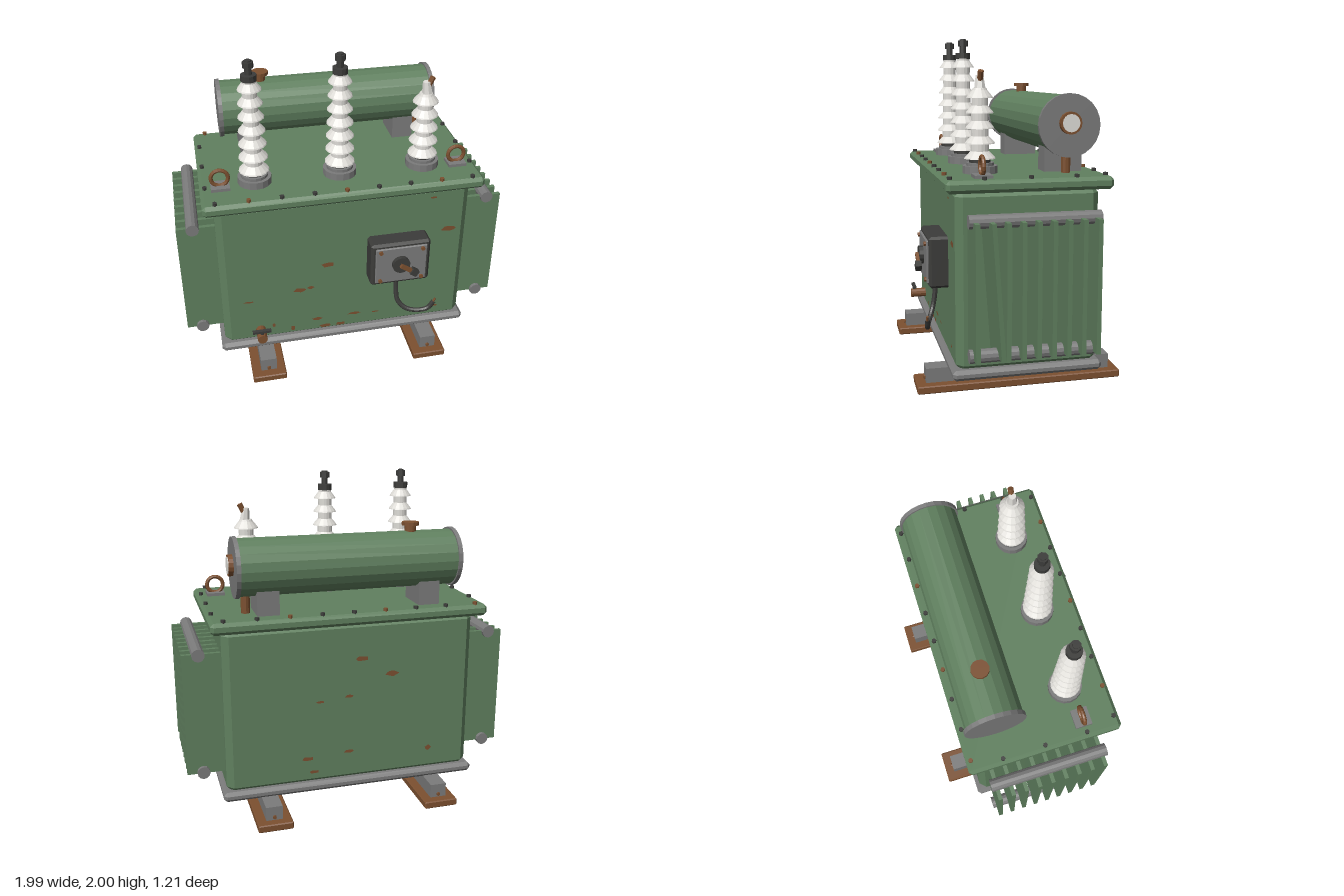
import * as THREE from 'three';
import { ConvexGeometry } from 'three/addons/geometries/ConvexGeometry.js';

const paint = (name, color) => Object.assign(new THREE.MeshStandardMaterial({ color, flatShading: true }), { name });

export function createModel() {
  const root = new THREE.Group();
  root.name = 'transformer';
  const green = paint('greenPaint', 0x60805f);
  const grey = paint('greyMetal', 0x7b7b7b);
  const dark = paint('darkMetal', 0x3c3c3a);
  const rust = paint('rust', 0x7c5030);
  const white = paint('porcelain', 0xdfddd8);

  const add = (name, geo, mat, x = 0, y = 0, z = 0, parent = root) => {
    const m = new THREE.Mesh(geo, mat);
    m.name = name;
    m.position.set(x, y, z);
    parent.add(m);
    return m;
  };
  const box = (w, h, d) => new THREE.BoxGeometry(w, h, d);
  // cylinder along the axis 'x', 'y' or 'z'
  const cyl = (r, len, axis = 'y', seg = 12) => {
    const g = new THREE.CylinderGeometry(r, r, len, seg);
    if (axis === 'x') g.rotateZ(-Math.PI / 2);
    if (axis === 'z') g.rotateX(Math.PI / 2);
    return g;
  };
  // box with every edge chamfered by b
  const chamferBox = (w, h, d, b) => {
    const pts = [];
    for (const sx of [-1, 1]) for (const sy of [-1, 1]) for (const sz of [-1, 1])
      for (let k = 0; k < 3; k++)
        pts.push(new THREE.Vector3(
          sx * (w / 2 - (k === 0 ? 0 : b)),
          sy * (h / 2 - (k === 1 ? 0 : b)),
          sz * (d / 2 - (k === 2 ? 0 : b))));
    return new ConvexGeometry(pts);
  };

  // skids and rails
  for (const s of [-1, 1]) {
    add('skid', chamferBox(0.21, 0.045, 1.21, 0.006), rust, s * 0.52, 0.0225, 0);
    add('rail', box(0.1, 0.09, 1.1), grey, s * 0.52, 0.085, 0);
    for (const e of [-1, 1]) add('railBolt', cyl(0.012, 0.03, 'z', 6), rust, s * 0.52, 0.065, e * 0.545);
  }

  // tank, base and lid
  add('basePlate', chamferBox(1.59, 0.06, 0.86, 0.02), grey, 0, 0.156, 0);
  add('tank', chamferBox(1.54, 1.02, 0.81, 0.04), green, 0, 0.675, 0);
  add('lid', chamferBox(1.67, 0.07, 0.93, 0.02), green, 0, 1.207, 0);
  const bolt = (x, z, i) => add('lidBolt', cyl(0.014, 0.02, 'y', 6), i % 3 === 0 ? rust : dark, x, 1.248, z);
  for (let i = 0; i < 9; i++) {
    const x = -0.76 + i * 0.19;
    bolt(x, 0.435, i + 2);
    bolt(x, -0.435, i);
  }
  for (const s of [-1, 1]) [-0.255, 0, 0.255].forEach((z) => bolt(s * 0.805, z, 1));

  // radiators: fins between two header pipes
  for (const s of [-1, 1]) {
    const rad = new THREE.Group();
    rad.name = s > 0 ? 'leftRadiator' : 'rightRadiator';
    root.add(rad);
    for (let i = 0; i < 9; i++) {
      const fin = add('fin', box(0.235, 0.74, 0.024), green, s * 0.8775, 0.67, -0.33 + i * 0.0825, rad);
      if (s > 0 && i === 7) { // one knocked out of line
        fin.position.z = 0.225;
        fin.rotation.x = 0.07;
        fin.rotation.y = 0.06;
      }
    }
    for (const y of [0.31, 1.037]) add('headerPipe', cyl(0.038, 0.725, 'z', 12), grey, s * 0.9, y, 0, rad);
  }

  // bushings: stacked porcelain sheds turned on a lathe
  const bushing = (x, sheds) => {
    const g = new THREE.Group();
    g.name = sheds < 7 ? 'brokenBushing' : 'bushing';
    g.position.set(x, 1.24, 0.22);
    root.add(g);
    add('flange', cyl(0.1, 0.045, 'y', 16), grey, 0, 0.0225, 0, g);
    add('collar', cyl(0.08, 0.02, 'y', 16), grey, 0, 0.052, 0, g);
    add('gasket', cyl(0.062, 0.03, 'y', 16), dark, 0, 0.07, 0, g);
    const pts = [new THREE.Vector2(0, 0.07), new THREE.Vector2(0.055, 0.07)];
    for (let i = 0; i < sheds; i++) {
      const y = 0.083 + i * 0.0845, r = 0.09 - i * 0.0035;
      pts.push(new THREE.Vector2(0.055 - i * 0.002, y + 0.01), new THREE.Vector2(r, y),
        new THREE.Vector2(r - 0.003, y + 0.007), new THREE.Vector2(0.052 - i * 0.002, y + 0.042));
    }
    const top = 0.083 + sheds * 0.0845;
    if (sheds === 7) {
      pts.push(new THREE.Vector2(0.04, top), new THREE.Vector2(0, top));
      add('cap', cyl(0.045, 0.035, 'y', 12), dark, 0, 0.66, 0, g);
      add('terminalRod', cyl(0.02, 0.06, 'y', 8), dark, 0, 0.70, 0, g);
      add('terminalNut', cyl(0.031, 0.034, 'y', 8), dark, 0, 0.735, 0, g);
      add('terminalTip', cyl(0.02, 0.02, 'y', 8), dark, 0, 0.75, 0, g);
    } else {
      // splintered top with bent conductor
      pts.push(new THREE.Vector2(0.038, top - 0.03), new THREE.Vector2(0, top - 0.03));
      const shard = new THREE.CylinderGeometry(0.022, 0.036, 0.1, 7);
      add('shard', shard, white, 0.004, top - 0.01, 0, g).rotation.z = 0.12;
      add('bentConductor', cyl(0.017, 0.1, 'y', 8), rust, 0.014, 0.525, 0, g).rotation.z = -0.45;
    }
    add('sheds', new THREE.LatheGeometry(pts, 16), white, 0, 0, 0, g);
  };
  bushing(-0.51, 7);
  bushing(0, 7);
  bushing(0.51, 5);

  // oil conservator drum
  const drum = new THREE.Group();
  drum.name = 'conservator';
  drum.position.set(0, 1.51, -0.255);
  root.add(drum);
  add('drumShell', cyl(0.168, 1.3, 'x', 20), green, 0, 0, 0, drum);
  for (const s of [-1, 1]) {
    add('drumEnd', cyl(0.178, 0.025, 'x', 24), grey, s * 0.66, 0, 0, drum);
    add('drumSupport', box(0.13, 0.2, 0.22), grey, s * 0.49, -0.17, 0, drum);
  }
  add('gaugeRim', cyl(0.063, 0.03, 'x', 16), rust, 0.684, 0.015, 0, drum);
  add('gaugeFace', cyl(0.05, 0.006, 'x', 16), white, 0.7, 0.015, 0, drum);
  add('fillerNeck', cyl(0.034, 0.08, 'y', 12), rust, -0.4, 0.17, 0, drum);
  add('fillerCap', cyl(0.052, 0.02, 'y', 12), rust, -0.4, 0.21, 0, drum);
  add('oilPipe', cyl(0.027, 0.16, 'y', 10), rust, 0.605, -0.2, 0, drum);

  // lifting eyes
  for (const s of [-1, 1]) {
    add('eyePad', box(0.11, 0.02, 0.1), grey, s * 0.715, 1.25, 0.25);
    add('liftingEye', new THREE.TorusGeometry(0.05, 0.012, 8, 18), rust, s * 0.715, 1.306, 0.25);
  }

  // control box
  add('controlBox', chamferBox(0.37, 0.3, 0.13, 0.015), dark, 0.32, 0.73, 0.45);
  add('controlPlate', chamferBox(0.32, 0.25, 0.016, 0.005), grey, 0.32, 0.73, 0.518);
  for (const dx of [-0.13, 0.13]) for (const dy of [-0.105, 0.105])
    add('plateBolt', cyl(0.013, 0.016, 'z', 8), rust, 0.32 + dx, 0.73 + dy, 0.53);
  add('dial', cyl(0.055, 0.03, 'z', 14), dark, 0.315, 0.74, 0.536);
  add('dialLever', box(0.1, 0.024, 0.02), rust, 0.35, 0.718, 0.56).rotation.z = -0.58;
  add('leverGrip', box(0.045, 0.04, 0.036), dark, 0.392, 0.692, 0.563).rotation.z = -0.58;

  // loose cable
  const cable = [[0.315, 0.6, 0.455], [0.315, 0.5, 0.458], [0.325, 0.41, 0.475], [0.37, 0.36, 0.5],
    [0.44, 0.345, 0.52], [0.51, 0.36, 0.53], [0.545, 0.415, 0.535]].map((p) => new THREE.Vector3(...p));
  add('cable', new THREE.TubeGeometry(new THREE.CatmullRomCurve3(cable), 28, 0.015, 8), dark);
  add('cableCore', cyl(0.007, 0.03, 'y', 6), rust, 0.547, 0.42, 0.535).rotation.z = -0.4;

  // drain valve
  add('valveBody', cyl(0.031, 0.11, 'z', 12), rust, -0.545, 0.26, 0.45);
  add('valveStem', cyl(0.01, 0.06, 'y', 8), dark, -0.545, 0.29, 0.485);
  add('valveHandle', box(0.115, 0.016, 0.022), dark, -0.545, 0.311, 0.485);

  // rust patches as flat, slightly ragged ovals: x, y, width, height
  const patch = ([x, y, w, h], side) => {
    const shape = new THREE.Shape();
    for (let i = 0; i < 9; i++) {
      const a = i / 9 * Math.PI * 2, k = 0.5 + 0.09 * Math.sin(i * 2.7 + x * 20);
      shape[i ? 'lineTo' : 'moveTo'](Math.cos(a) * w * k, Math.sin(a) * h * k);
    }
    const g = new THREE.ShapeGeometry(shape);
    if (side < 0) g.rotateY(Math.PI);
    add('rustPatch', g, rust, x, y, side * 0.4075);
  };
  [[0.65, 0.87, 0.09, 0.036], [-0.11, 0.705, 0.08, 0.034], [-0.29, 0.535, 0.075, 0.032],
    [-0.22, 0.545, 0.045, 0.022], [-0.61, 0.49, 0.065, 0.012], [0.54, 1.11, 0.045, 0.014],
    [0.06, 0.29, 0.08, 0.02], [-0.18, 0.285, 0.065, 0.024], [-0.13, 0.22, 0.075, 0.025],
    [-0.03, 0.22, 0.06, 0.024], [-0.34, 0.235, 0.026, 0.04], [-0.46, 0.28, 0.02, 0.03],
    [0.2, 0.28, 0.05, 0.01], [0.6, 0.265, 0.04, 0.016]].forEach((p) => patch(p, 1));
  [[-0.06, 0.95, 0.08, 0.03], [-0.25, 0.84, 0.08, 0.035], [0.02, 0.72, 0.05, 0.02], [0.2, 0.7, 0.05, 0.015],
    [0.28, 0.34, 0.07, 0.025], [0.02, 0.36, 0.06, 0.02], [0.24, 0.25, 0.06, 0.02],
    [-0.5, 0.32, 0.04, 0.035]].forEach((p) => patch(p, -1));

  return root;
}
